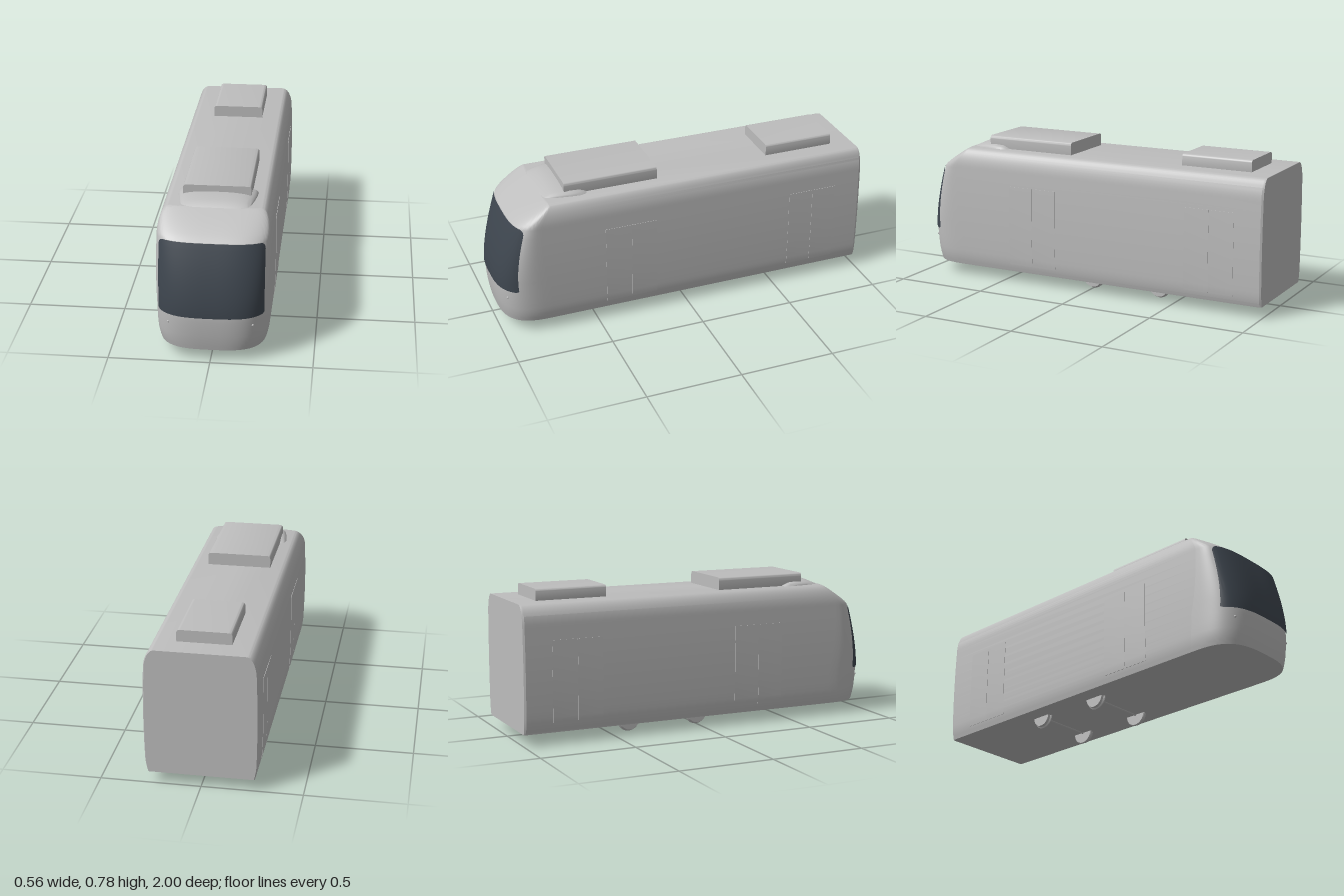
import * as THREE from 'three';
import { toCreasedNormals } from 'three/addons/utils/BufferGeometryUtils.js';

const paint = new THREE.MeshStandardMaterial({ color: 0xbdbdbd });
paint.name = 'bodyGrey';
const glass = new THREE.MeshStandardMaterial({ color: 0x3e464f });
glass.name = 'darkGlass';

const N = 3.1; // roundness of the nose in plan

// half width, nose tip and nose depth of the body at height y
function halfWidth(y) {
  if (y > 0.6) return 0.275 - 0.05 * (1 - Math.sqrt(Math.max(0, 1 - ((y - 0.6) / 0.11) ** 2)));
  const tuck = y < 0.14 ? 0.01 * ((0.14 - y) / 0.08) ** 2 : 0;
  return 0.28 - 0.005 * ((y - 0.35) / 0.25) ** 2 - tuck;
}
function noseTip(y) {
  if (y > 0.6) return 0.74 + 0.175 * (1 - ((y - 0.6) / 0.11) ** 1.15);
  if (y > 0.25) return 1 - 0.085 * ((y - 0.25) / 0.35) ** 1.5;
  return 1 - 0.02 * ((0.25 - y) / 0.19) ** 2;
}
function noseDepth(y) {
  if (y > 0.6) return 0.13 - 0.11 * (y - 0.6) / 0.11;
  return y > 0.25 ? 0.25 - 0.12 * (y - 0.25) / 0.35 : 0.25;
}
function noseZ(x, y) {
  const u = Math.min(1, Math.abs(x) / halfWidth(y));
  return noseTip(y) - noseDepth(y) * (1 - (1 - u ** N) ** (1 / N));
}

// skin over rows of [x, y, z] points
function surface(rows, crease = 0.45) {
  const n = rows[0].length, index = [];
  for (let r = 0; r < rows.length - 1; r++) {
    for (let c = 0; c < n - 1; c++) {
      const a = r * n + c, b = a + n;
      index.push(a, a + 1, b, a + 1, b + 1, b);
    }
  }
  const g = new THREE.BufferGeometry();
  g.setAttribute('position', new THREE.Float32BufferAttribute(rows.flat(2), 3));
  g.setIndex(index);
  return toCreasedNormals(g, crease);
}

function add(parent, name, geometry, material = paint) {
  const mesh = new THREE.Mesh(geometry, material);
  mesh.name = name;
  parent.add(mesh);
  return mesh;
}

// closed horizontal outline of the body at height y
function outline(y) {
  const w = halfWidth(y), d = noseDepth(y), base = noseTip(y) - d;
  const pts = [[-w + 0.005, y, -1], [-w, y, -0.99]];
  const steps = 48;
  for (let i = 0; i <= steps; i++) {
    const a = Math.PI * i / steps, c = Math.cos(a), s = Math.max(0, Math.sin(a));
    pts.push([-w * Math.sign(c) * Math.abs(c) ** (2 / N), y, base + d * s ** (2 / N)]);
  }
  pts.push([w, y, -0.99], [w - 0.005, y, -1], pts[0].slice());
  return pts;
}

function bodyGeometry() {
  const levels = [0.06, 0.07, 0.08, 0.1, 0.12, 0.14, 0.18, 0.22, 0.25, 0.3, 0.35, 0.4, 0.45, 0.5, 0.55, 0.6];
  for (let i = 1; i <= 12; i++) levels.push(0.6 + 0.11 * Math.sin(Math.PI / 2 * i / 12));
  const rows = levels.map(outline);
  const flat = row => row.map(([, y, z]) => [0, y, z]);
  return surface([flat(rows[0]), ...rows, flat(rows.at(-1))]);
}

// windscreen following the nose, with rounded upper corners
function windscreenGeometry() {
  const rows = [], r = 0.03;
  const levels = [0.243, 0.246, 0.25];
  for (let i = 1; i <= 8; i++) levels.push(0.25 + 0.32 * i / 8);
  for (let i = 1; i <= 6; i++) levels.push(0.57 + r * Math.sin(Math.PI / 2 * i / 6));
  for (const y of levels) {
    let hw = 0.255;
    if (y > 0.57) hw -= 0.7 * (r - Math.sqrt(Math.max(0, r * r - (y - 0.57) ** 2)));
    if (y < 0.249) hw -= (0.249 - y) * 1.5;
    const row = [];
    for (let i = 0; i <= 40; i++) {
      const x = hw * Math.sin(Math.PI / 2 * (i / 20 - 1));
      row.push([x * 1.008, y, noseZ(x, y) + 0.004]);
    }
    rows.push(row);
  }
  return surface(rows, 0.8);
}

// thin door leaf curved with the body side
function doorLeaf(side, z0, z1) {
  const ys = [0.1, 0.1, 0.12, 0.14, 0.25, 0.35, 0.45, 0.53, 0.53];
  const zs = side > 0 ? [z1, z1, z0, z0] : [z0, z0, z1, z1];
  return surface(ys.map((y, r) => zs.map((z, c) => {
    const edge = r === 0 || r === ys.length - 1 || c === 0 || c === 3;
    return [side * (halfWidth(y) + (edge ? -0.003 : 0.002)), y, z];
  })));
}

// equipment box with rounded long edges
function roofBox(hw, top, z0, z1) {
  const b = 0.7, r = 0.018, s = new THREE.Shape();
  s.moveTo(-hw + 0.01, b);
  s.lineTo(hw - 0.01, b);
  s.quadraticCurveTo(hw, b, hw, b + 0.015);
  s.lineTo(hw, top - r);
  s.quadraticCurveTo(hw, top, hw - r, top);
  s.lineTo(-hw + r, top);
  s.quadraticCurveTo(-hw, top, -hw, top - r);
  s.lineTo(-hw, b + 0.015);
  s.quadraticCurveTo(-hw, b, -hw + 0.01, b);
  const g = new THREE.ExtrudeGeometry(s, { depth: z1 - z0, bevelEnabled: false, curveSegments: 6 });
  return toCreasedNormals(g.translate(0, 0, z0), 0.6);
}

// low fairing in front of the forward roof box: z, half width, crown height
function fairingGeometry() {
  const sections = [[0.75, 0.165, 0.7], [0.74, 0.168, 0.712], [0.7, 0.176, 0.732], [0.66, 0.185, 0.742],
    [0.6, 0.195, 0.746], [0.55, 0.2, 0.74], [0.52, 0.195, 0.725], [0.49, 0.175, 0.7]];
  return surface(sections.map(([z, w, top]) => {
    const row = [];
    for (let i = 0; i <= 20; i++) {
      const a = Math.PI * i / 20, c = Math.cos(a);
      row.push([-w * Math.sign(c) * Math.abs(c) ** 0.8, 0.7 + (top - 0.7) * Math.max(0, Math.sin(a)) ** 0.7, z]);
    }
    return row;
  }), 0.9);
}

export function createModel() {
  const tram = new THREE.Group();
  tram.name = 'tram';
  add(tram, 'body', bodyGeometry());
  add(tram, 'windscreen', windscreenGeometry(), glass);

  // roof
  add(tram, 'frontRoofBox', roofBox(0.168, 0.776, 0.13, 0.63));
  add(tram, 'rearRoofBox', roofBox(0.135, 0.77, -0.88, -0.5));
  add(tram, 'roofFairing', fairingGeometry());

  // double doors and marker lamps on both sides
  for (const side of [-1, 1]) {
    for (const [z0, z1] of [[0.17, 0.45], [-0.85, -0.58]]) {
      const mid = (z0 + z1) / 2;
      add(tram, 'doorLeaf', doorLeaf(side, z0, mid - 0.001));
      add(tram, 'doorLeaf', doorLeaf(side, mid + 0.001, z1));
    }
    const lamp = add(tram, 'markerLamp', new THREE.SphereGeometry(0.006, 12, 8));
    lamp.position.set(side * 0.205, 0.198, noseZ(0.205, 0.198));
  }

  // flanged wheels on two axles
  for (const z of [0, -0.39]) {
    const axle = new THREE.Group();
    axle.name = 'wheelset';
    axle.position.set(0, 0.062, z);
    add(axle, 'axle', new THREE.CylinderGeometry(0.007, 0.007, 0.31, 12).rotateZ(Math.PI / 2));
    for (const side of [-1, 1]) {
      const profile = [[0, 0.148], [0.058, 0.148], [0.062, 0.152], [0.062, 0.156], [0.055, 0.161], [0.053, 0.174], [0, 0.174]];
      const g = new THREE.LatheGeometry(profile.map(p => new THREE.Vector2(...p)), 32);
      add(axle, 'wheel', toCreasedNormals(g.rotateZ(-side * Math.PI / 2), 0.5));
    }
    tram.add(axle);
  }
  return tram;
}
